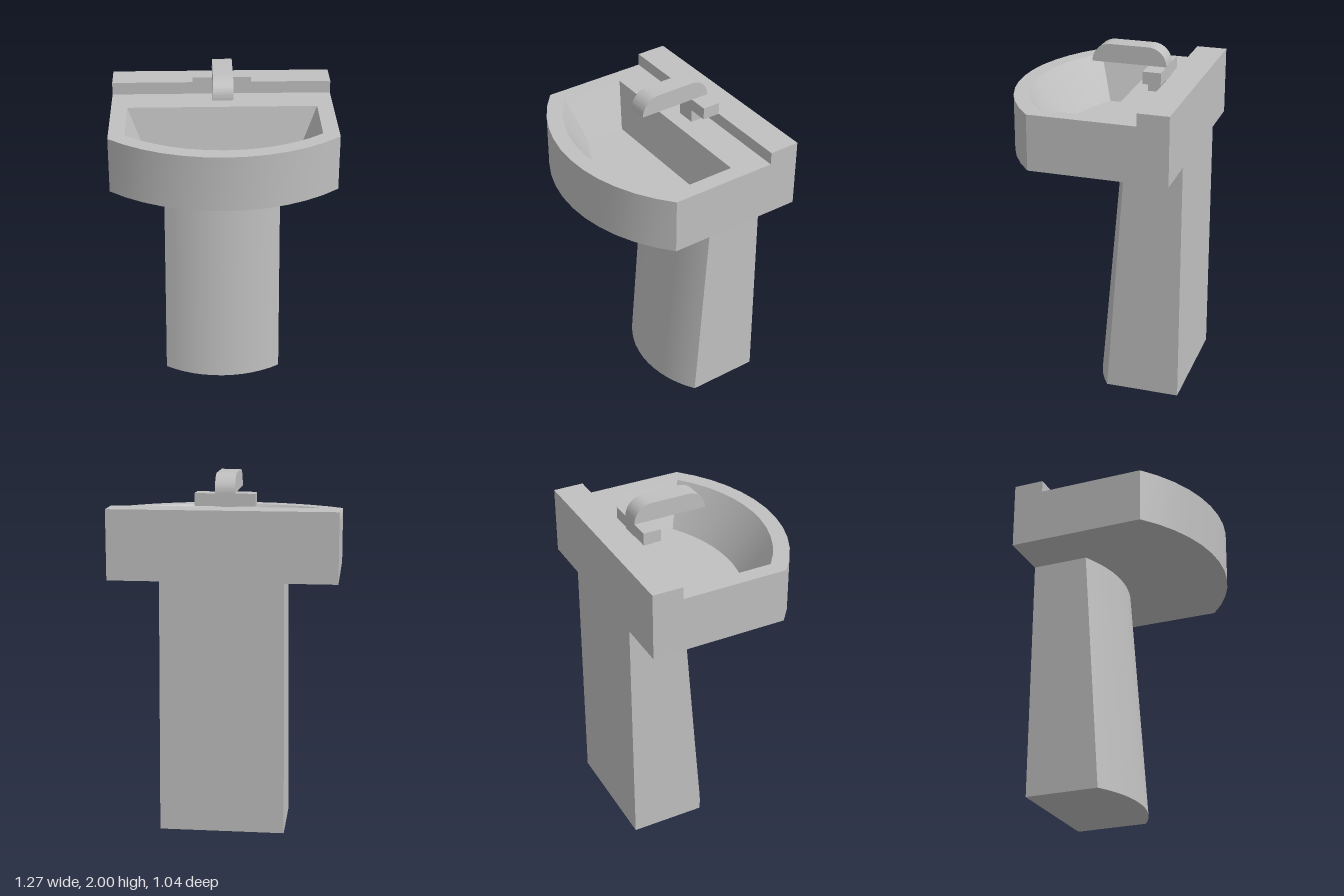
import * as THREE from 'three';
import { toCreasedNormals } from 'three/addons/utils/BufferGeometryUtils.js';

const ARC_STEPS = 12;

// Horizontal loop: straight back and sides, bowed front (a circular arc).
function bowLoop(y, halfWidth, back, side, front) {
  const sag = front - side;
  const radius = (halfWidth * halfWidth + sag * sag) / (2 * sag);
  const half = Math.asin(halfWidth / radius);
  const points = [[-halfWidth, y, back]];
  for (let i = 0; i <= ARC_STEPS; i++) {
    const a = -half + (2 * half * i) / ARC_STEPS;
    points.push([radius * Math.sin(a), y, front - radius + radius * Math.cos(a)]);
  }
  points.push([halfWidth, y, back]);
  return points;
}

// Skin a series of loops and close both ends.
function loft(loops) {
  const n = loops[0].length;
  const positions = loops.flat(2);
  const index = [];
  for (let k = 0; k < loops.length - 1; k++) {
    for (let i = 0; i < n; i++) {
      const j = (i + 1) % n;
      const a = k * n + i, b = k * n + j, c = b + n, d = a + n;
      index.push(a, b, c, a, c, d);
    }
  }
  const last = (loops.length - 1) * n;
  for (let i = 1; i < n - 1; i++) {
    index.push(0, i + 1, i);
    index.push(last, last + i, last + i + 1);
  }
  const geometry = new THREE.BufferGeometry();
  geometry.setAttribute('position', new THREE.Float32BufferAttribute(positions, 3));
  geometry.setIndex(index);
  return toCreasedNormals(geometry.toNonIndexed(), 0.4);
}

// Box given by its half width and its y and z limits.
function block(halfWidth, y0, y1, z0, z1) {
  return new THREE.BoxGeometry(2 * halfWidth, y1 - y0, z1 - z0)
    .translate(0, (y0 + y1) / 2, (z0 + z1) / 2);
}

// Spout profile in the z-y plane, rounded at both upper corners.
function spoutGeometry() {
  const r = 0.105, y = 1.895, back = -0.34, tip = 0.09, halfWidth = 0.056;
  const shape = new THREE.Shape();
  shape.moveTo(back, y);
  shape.lineTo(tip, y);
  shape.absarc(tip - r, y, r, 0, Math.PI / 2, false);
  shape.absarc(back + r, y, r, Math.PI / 2, Math.PI, false);
  const geometry = new THREE.ExtrudeGeometry(shape, {
    depth: 2 * halfWidth, bevelEnabled: false, curveSegments: 10,
  });
  geometry.rotateY(-Math.PI / 2).translate(halfWidth, 0, 0);
  return toCreasedNormals(geometry, 0.4);
}

export function createModel() {
  const ceramic = new THREE.MeshStandardMaterial({ color: 0xc0c0c0 });
  ceramic.name = 'grey ceramic';

  const model = new THREE.Group();
  model.name = 'pedestalSink';
  const add = (parent, name, geometry) => {
    const mesh = new THREE.Mesh(geometry, ceramic);
    mesh.name = name;
    parent.add(mesh);
  };

  // Tapered column with a bowed front
  add(model, 'pedestal', loft([
    bowLoop(0, 0.352, -0.52, -0.09, 0.02),
    bowLoop(1.43, 0.343, -0.52, -0.19, -0.105),
  ]));

  // Basin: outer wall, rim, sloping bowl wall and bowl floor
  add(model, 'basin', loft([
    bowLoop(1.43, 0.635, -0.52, 0.27, 0.52),
    bowLoop(1.75, 0.635, -0.52, 0.27, 0.52),
    bowLoop(1.75, 0.543, -0.147, 0.228, 0.43),
    bowLoop(1.49, 0.44, -0.092, 0.142, 0.268),
  ]));

  // Raised ledge along the back
  add(model, 'backLedge', block(0.635, 1.75, 1.822, -0.52, -0.343));

  // Tap
  const tap = new THREE.Group();
  tap.name = 'tap';
  add(tap, 'tapStem', block(0.056, 1.75, 1.825, -0.34, -0.237));
  add(tap, 'tapHandleBar', block(0.168, 1.825, 1.895, -0.34, -0.237));
  add(tap, 'spout', spoutGeometry());
  model.add(tap);

  return model;
}
